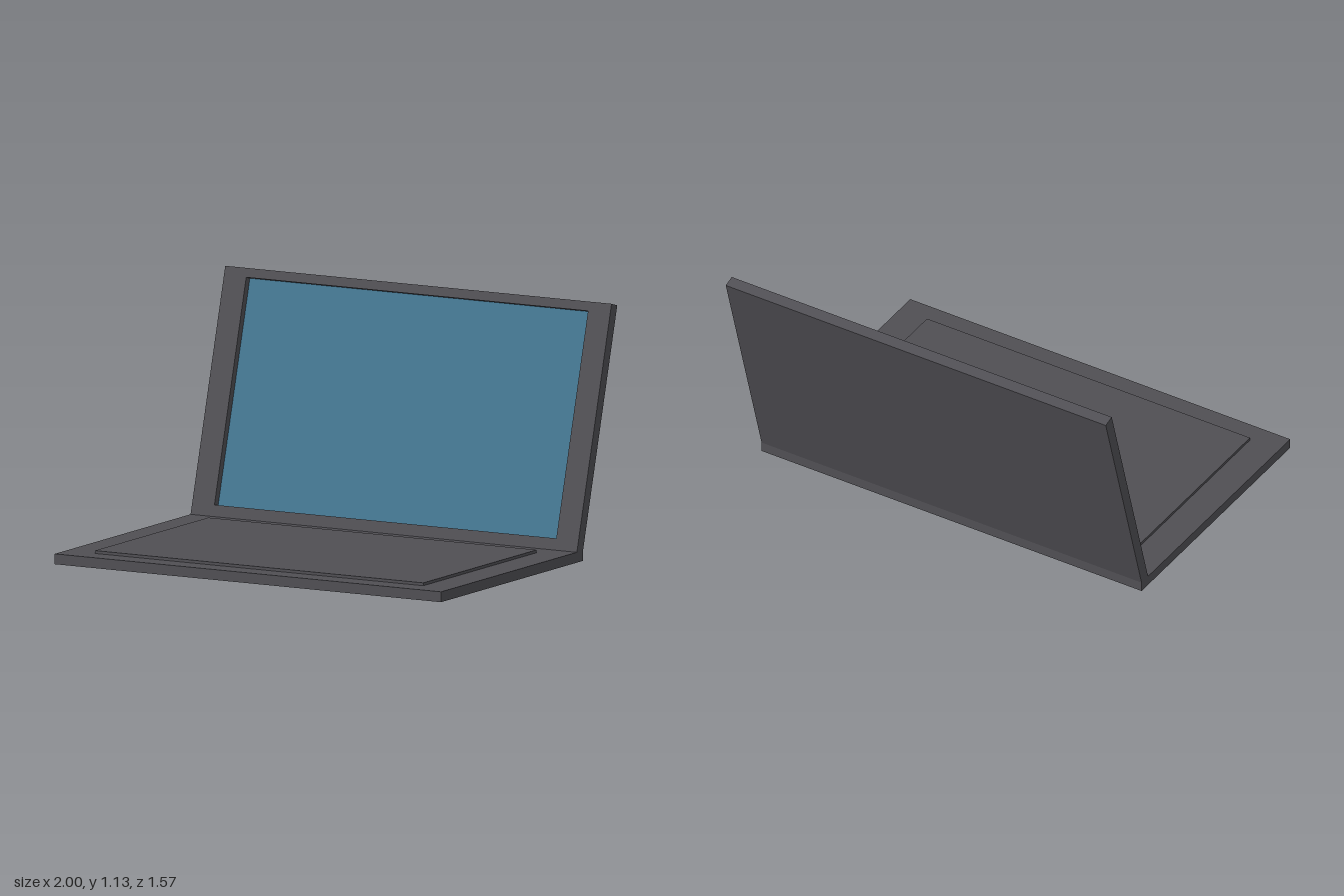
import * as THREE from 'three';

export function createModel() {
  const model = new THREE.Group();
  model.name = 'laptop';
  const casing = new THREE.MeshStandardMaterial({ name: 'dark grey casing', color: 0x504f54 });
  const glass = new THREE.MeshStandardMaterial({ name: 'blue screen', color: 0x437590 });

  const add = (parent, name, geometry, material) => {
    const mesh = new THREE.Mesh(geometry, material);
    mesh.name = name;
    parent.add(mesh);
    return mesh;
  };
  // Box given by its lower and upper corners
  const box = ([x0, y0, z0], [x1, y1, z1]) =>
    new THREE.BoxGeometry(x1 - x0, y1 - y0, z1 - z0)
      .translate((x0 + x1) / 2, (y0 + y1) / 2, (z0 + z1) / 2);
  const rectangle = (Type, w, y0, y1) => new Type([
    new THREE.Vector2(-w, y0), new THREE.Vector2(w, y0),
    new THREE.Vector2(w, y1), new THREE.Vector2(-w, y1),
  ]);

  // Base and the raised keyboard panel
  add(model, 'base', box([-1, 0, -0.48], [1, 0.047, 0.785]), casing);
  add(model, 'keyboardPanel', box([-0.85, 0.04, -0.325], [0.85, 0.06, 0.685]), casing);

  // Lid, leaning back from the rear of the base; its front face is local z = 0
  const lid = new THREE.Group();
  lid.name = 'lid';
  lid.position.set(0, 0.047, -0.425);
  lid.rotation.x = -Math.atan2(0.309, 1.083);
  model.add(lid);

  const height = 1.126, thickness = 0.053, recess = 0.036;
  const frame = rectangle(THREE.Shape, 1, 0, height);
  frame.holes.push(rectangle(THREE.Path, 0.885, 0.053, 1.084));
  const bezel = new THREE.ExtrudeGeometry(frame, { depth: recess, bevelEnabled: false });
  add(lid, 'bezel', bezel.translate(0, 0, -recess), casing);
  add(lid, 'lidBack', box([-1, 0, -thickness], [1, height, -recess]), casing);

  // Screen set at the bottom of the recess
  add(lid, 'screen', box([-0.885, 0.053, -recess - 0.002], [0.885, 1.084, -recess + 0.002]), glass);

  return model;
}
